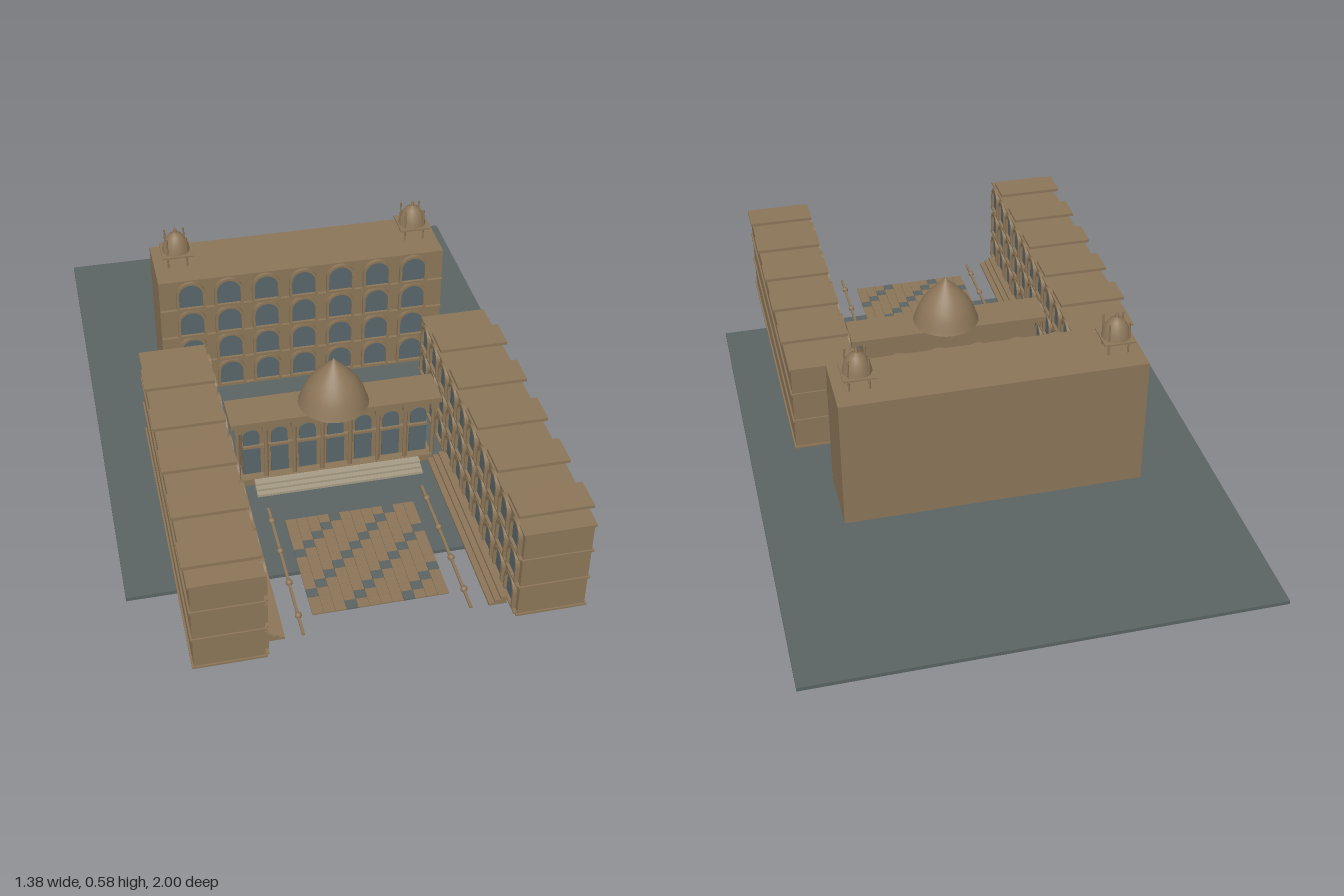
import * as THREE from 'three';

const mat = (name, color) => Object.assign(new THREE.MeshStandardMaterial({ color }), { name });

export function createModel() {
  const stone = mat('sandstone', 0x8b7558);
  const slate = mat('slate', 0x5a6363);
  const glass = mat('window glass', 0x586669);
  const pale = mat('pale stone', 0xa59b84);
  const root = new THREE.Group();

  const add = (parent, name, geo, material, x = 0, y = 0, z = 0) => {
    const m = new THREE.Mesh(geo, material);
    m.name = name;
    m.position.set(x, y, z);
    parent.add(m);
    return m;
  };
  // box given by its limits
  const box = (parent, name, x0, x1, y0, y1, z0, z1, material = stone) =>
    add(parent, name, new THREE.BoxGeometry(x1 - x0, y1 - y0, z1 - z0), material,
      (x0 + x1) / 2, (y0 + y1) / 2, (z0 + z1) / 2);
  const group = (name, parent = root) => {
    const g = new THREE.Group();
    g.name = name;
    parent.add(g);
    return g;
  };

  // round-headed outline standing on y = base
  const archPath = (P, w, h, base = 0) => {
    const p = new P();
    p.moveTo(-w / 2, base);
    p.lineTo(w / 2, base);
    p.lineTo(w / 2, h - w / 2);
    p.absarc(0, h - w / 2, w / 2, 0, Math.PI, false);
    p.lineTo(-w / 2, base);
    return p;
  };
  const extrude = (shape, depth) =>
    new THREE.ExtrudeGeometry(shape, { depth, bevelEnabled: false, curveSegments: 8 });

  // rows of framed arched windows facing +z, with a ledge under each floor
  const facade = (parent, name, cols, pitchX, rows, pitchY, w, h, length) => {
    const g = group(name, parent);
    const frameShape = archPath(THREE.Shape, w + 0.016, h + 0.008);
    frameShape.holes.push(archPath(THREE.Path, w, h, 0.006));
    const frame = extrude(frameShape, 0.012);
    const pane = extrude(archPath(THREE.Shape, w, h, 0.006), 0.003);
    for (let r = 0; r < rows; r++) {
      const y = r * pitchY;
      box(g, 'ledge', -length / 2, length / 2, y - 0.003, y + 0.003, 0, 0.01);
      for (let c = 0; c < cols; c++) {
        const x = (c - (cols - 1) / 2) * pitchX;
        add(g, 'archFrame', frame, stone, x, y + 0.002, 0);
        add(g, 'archWindow', pane, glass, x, y + 0.002, 0);
      }
    }
    return g;
  };

  box(root, 'ground', -0.69, 0.69, 0, 0.012, -1, 0.7, slate);

  // tall rear block
  const rear = group('rearBlock');
  box(rear, 'rearBody', -0.458, 0.458, 0.02, 0.445, -0.4, -0.184);
  facade(rear, 'rearFacade', 7, 0.12, 4, 0.105, 0.075, 0.092, 0.916).position.set(0, 0.025, -0.184);

  // domed roof kiosks
  const kioskDome = new THREE.LatheGeometry([
    [0.044, 0], [0.041, 0.015], [0.034, 0.036], [0.022, 0.054], [0.008, 0.062], [0.004, 0.066],
    [0.006, 0.072], [0.002, 0.078], [0, 0.088],
  ].map(([x, y]) => new THREE.Vector2(x, y)), 20);
  for (const s of [-1, 1]) {
    const k = group('roofKiosk');
    k.position.set(s * 0.384, 0.445, -0.3);
    box(k, 'kioskEave', -0.048, 0.048, 0.042, 0.047, -0.048, 0.048);
    add(k, 'kioskDome', kioskDome, stone, 0, 0.046, 0);
    for (const x of [-0.03, 0.03]) for (const z of [-0.03, 0.03]) {
      add(k, 'kioskColumn', new THREE.CylinderGeometry(0.003, 0.003, 0.105, 8), stone, x, 0.0525, z);
    }
  }

  // side wings, with steps and a rail along the court
  for (const s of [-1, 1]) {
    const wing = group(s > 0 ? 'leftWing' : 'rightWing');
    const side = (name, a, b, y0, y1, z0, z1) =>
      box(wing, name, Math.min(s * a, s * b), Math.max(s * a, s * b), y0, y1, z0, z1);
    side('wingBody', 0.35, 0.543, 0.02, 0.318, -0.008, 0.995);
    for (const y of [0.022, 0.125, 0.225, 0.317]) {
      side('floorBand', 0.345, 0.548, y - 0.003, y + 0.003, -0.013, 1);
    }
    for (let i = 0; i < 5; i++) {
      const z = 0.155 + i * 0.187;
      side('roofSlab', 0.345, 0.555, 0.335, 0.345, z - 0.048, z + 0.048);
    }
    const f = facade(wing, 'courtFacade', 10, 0.099, 3, 0.1, 0.062, 0.088, 1);
    f.position.set(s * 0.35, 0.025, 0.4935);
    f.rotation.y = -s * Math.PI / 2;

    for (let i = 0; i < 3; i++) {
      side('courtStep', 0.287 + i * 0.017, 0.304 + i * 0.017, 0.012, 0.02 + i * 0.009, 0.31, 0.94);
    }
    side('railBar', 0.232, 0.24, 0.014, 0.02, 0.43, 0.94);
    for (let i = 0; i < 4; i++) {
      add(wing, 'railKnob', new THREE.SphereGeometry(0.01, 12, 8), stone, s * 0.236, 0.02, 0.487 + i * 0.128);
    }
  }

  // central entrance pavilion
  const hall = group('entrancePavilion');
  box(hall, 'pavilionRoof', -0.322, 0.322, 0.235, 0.252, 0.19, 0.312);
  box(hall, 'pavilionBase', -0.3, 0.3, 0.012, 0.035, 0.195, 0.312);
  box(hall, 'pavilionCore', -0.285, 0.285, 0.035, 0.235, 0.2, 0.285);
  box(hall, 'doorBeam', -0.285, 0.285, 0.142, 0.15, 0.285, 0.297);
  const upper = extrude(archPath(THREE.Shape, 0.05, 0.055), 0.004);
  for (let i = 0; i < 7; i++) {
    const x = (i - 3) * 0.086;
    box(hall, 'doorPane', x - 0.027, x + 0.027, 0.04, 0.142, 0.285, 0.29, glass);
    add(hall, 'upperPane', upper, glass, x, 0.15, 0.285);
  }
  for (let i = 0; i < 8; i++) {
    const x = (i - 3.5) * 0.086;
    add(hall, 'column', new THREE.CylinderGeometry(0.006, 0.007, 0.2, 12), stone, x, 0.135, 0.3);
    box(hall, 'columnCapital', x - 0.011, x + 0.011, 0.215, 0.235, 0.287, 0.311);
  }

  // pointed dome over the entrance
  const dome = [[0.107, 0], [0.102, 0.012], [0.093, 0.04], [0.079, 0.068], [0.06, 0.094],
    [0.04, 0.116], [0.02, 0.136], [0.008, 0.148], [0, 0.16]];
  add(hall, 'pavilionDome', new THREE.LatheGeometry(dome.map(([x, y]) => new THREE.Vector2(x, y)), 32),
    stone, 0, 0.252, 0.256);

  // entrance steps
  for (let i = 0; i < 3; i++) {
    box(hall, 'entranceStep', -0.256, 0.256, 0.012, 0.034 - i * 0.007, 0.312, 0.336 + i * 0.017, pale);
  }

  // paved court: diagonal bands of slate among stone tiles
  const court = group('pavedCourt');
  const size = 0.0325;
  const tile = new THREE.BoxGeometry(size - 0.001, 0.004, size - 0.001);
  for (let i = 0; i < 12; i++) for (let j = 0; j < 12; j++) {
    add(court, 'paver', tile, (i + j) % 5 === 4 ? slate : stone,
      (i - 5.5) * size - 0.002, 0.0145, 0.505 + j * 0.032);
  }
  return root;
}
